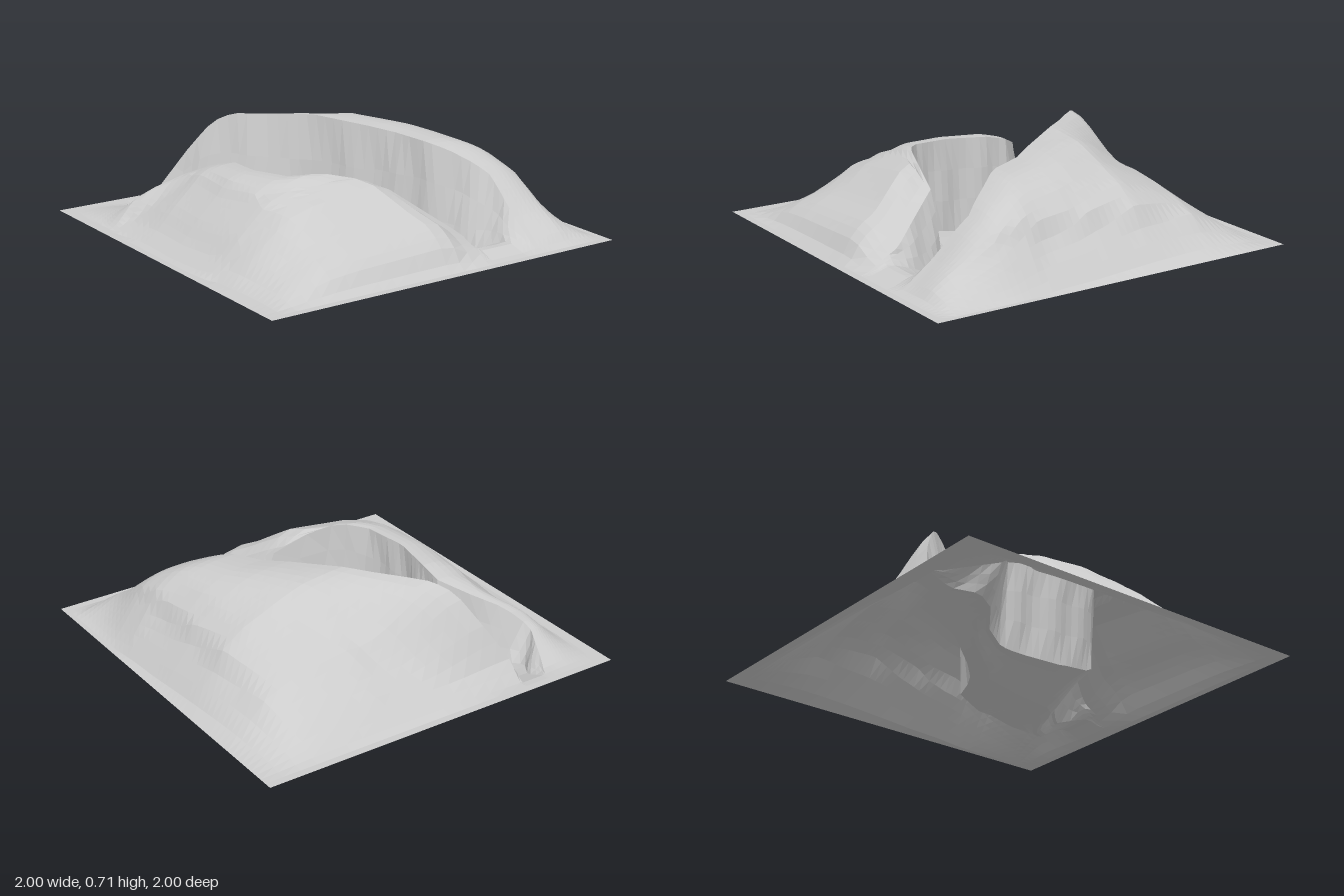
import * as THREE from 'three';

// Piecewise linear curve through [position, value] points
const curve = (...pts) => (t) => {
  if (t <= pts[0][0]) return pts[0][1];
  for (let i = 1; i < pts.length; i++) {
    const [a, va] = pts[i - 1], [b, vb] = pts[i];
    if (t <= b) return va + (vb - va) * (t - a) / (b - a);
  }
  return pts[pts.length - 1][1];
};
const { lerp, smoothstep } = THREE.MathUtils;
const GROUND = 0.2;

// Canyon plan: rims and foot of each wall, x as a function of z
const leftRimX = curve([-1, -0.66], [-0.89, -0.66], [-0.82, -0.7], [-0.62, -0.79], [-0.54, -0.69], [-0.44, -0.54],
  [-0.32, -0.43], [-0.2, -0.43], [0.02, -0.46], [0.25, -0.41], [0.35, -0.29], [0.4, -0.13], [0.43, 0.04],
  [0.6, 0.15], [0.75, 0.25], [0.87, 0.26], [1, 0.26]);
const leftFootX = curve([-1, -0.63], [-0.82, -0.62], [-0.7, -0.7], [-0.6, -0.65], [-0.48, -0.49], [-0.35, -0.41],
  [-0.2, -0.41], [0.02, -0.43], [0.25, -0.38], [0.33, -0.27], [0.38, -0.09], [0.42, 0.12], [0.55, 0.25],
  [0.73, 0.3], [0.87, 0.3], [1, 0.3]);
const rightFootX = curve([-1, -0.52], [-0.8, -0.51], [-0.68, -0.42], [-0.53, -0.32], [-0.4, -0.22], [-0.3, -0.12],
  [-0.24, 0.04], [-0.08, 0.12], [0.1, 0.23], [0.3, 0.32], [0.5, 0.37], [0.65, 0.43], [0.75, 0.48], [1, 0.5]);
const rightRimX = curve([-1, -0.5], [-0.84, -0.48], [-0.75, -0.36], [-0.6, -0.22], [-0.47, -0.11], [-0.35, 0],
  [-0.25, 0.08], [0, 0.24], [0.12, 0.32], [0.3, 0.38], [0.4, 0.46], [0.56, 0.57], [0.75, 0.57], [1, 0.57]);

// Heights of the rims along z
const leftRimY = curve([-0.89, 0.2], [-0.62, 0.28], [-0.54, 0.38], [-0.44, 0.46], [-0.32, 0.52], [-0.2, 0.55],
  [0.02, 0.565], [0.25, 0.58], [0.35, 0.6], [0.4, 0.56], [0.43, 0.49], [0.6, 0.39], [0.75, 0.3], [0.87, 0.24], [0.94, 0.2]);
const rightRimY = curve([-0.92, 0.2], [-0.84, 0.3], [-0.75, 0.5], [-0.66, 0.64], [-0.58, 0.69], [-0.25, 0.71],
  [0, 0.68], [0.12, 0.66], [0.3, 0.64], [0.38, 0.61], [0.5, 0.55], [0.62, 0.46], [0.75, 0.34], [0.87, 0.25], [0.94, 0.2]);

// Heights of the floor along z: its bed and its banks under each wall
const floorY = curve([-0.93, 0.2], [-0.8, 0.15], [-0.7, 0.12], [-0.5, 0.06], [-0.27, 0.01], [-0.04, 0],
  [0.2, 0.03], [0.5, 0.06], [0.6, 0.12], [0.73, 0.2], [0.82, 0.24], [0.94, 0.2]);
const leftBankY = curve([-0.93, 0.2], [-0.8, 0.15], [-0.6, 0.11], [-0.3, 0.07], [0, 0.07], [0.2, 0.11],
  [0.33, 0.18], [0.42, 0.18], [0.55, 0.13], [0.73, 0.21], [0.82, 0.24], [0.94, 0.2]);
const rightBankY = curve([-0.93, 0.2], [-0.8, 0.15], [-0.7, 0.12], [-0.5, 0.06], [-0.27, 0.01], [-0.06, 0],
  [0.1, 0.05], [0.5, 0.09], [0.6, 0.13], [0.73, 0.21], [0.82, 0.24], [0.94, 0.2]);

// Rounded hill mass as a product of two profiles
const hillX = curve([-0.94, 0], [-0.85, 0.07], [-0.77, 0.16], [-0.6, 0.32], [-0.45, 0.37], [-0.25, 0.4], [0, 0.44],
  [0.3, 0.48], [0.5, 0.43], [0.65, 0.37], [0.77, 0.28], [0.8, 0.21], [0.9, 0.09], [0.97, 0]);
const hillZ = curve([-0.94, 0], [-0.8, 0.26], [-0.6, 0.6], [-0.25, 0.96], [0, 1], [0.35, 0.97],
  [0.52, 0.83], [0.7, 0.52], [0.8, 0.4], [0.87, 0.28], [0.94, 0]);

// Hill surface, drawn towards the rim height close to the canyon
function hillY(x, z, rimX, rimY, reach) {
  const y = GROUND + hillX(x) * hillZ(z);
  const w = 1 - smoothstep(Math.abs(x - rimX), 0, Math.min(reach, 0.94 - Math.abs(rimX)));
  return lerp(y, rimY, w);
}

// Sheet of quads: rows along z, columns across from u = 0 to 1
const ROWS = 50;
function sheet(name, cols, pointAt) {
  const pos = [], idx = [];
  for (let i = 0; i <= ROWS; i++) {
    const z = -1 + 2 * i / ROWS;
    for (let j = 0; j <= cols; j++) {
      const [x, y] = pointAt(z, j / cols);
      pos.push(x, y, z);
      if (i < ROWS && j < cols) {
        const a = i * (cols + 1) + j, c = a + cols + 1;
        idx.push(a, c, a + 1, a + 1, c, c + 1);
      }
    }
  }
  const geo = new THREE.BufferGeometry();
  geo.setAttribute('position', new THREE.Float32BufferAttribute(pos, 3));
  geo.setIndex(idx);
  geo.computeVertexNormals();
  const mesh = new THREE.Mesh(geo, new THREE.MeshStandardMaterial({
    color: 0xcccccc, flatShading: true, side: THREE.DoubleSide,
  }));
  mesh.name = name;
  return mesh;
}

// Wall cross-section with a slightly worn face
const wall = (footX, rimX, footY, rimY) => (z, v) => {
  const bulge = 0.012 * Math.sin(v * Math.PI) * Math.sin(z * 31);
  return [lerp(footX(z), rimX(z), v) + bulge, lerp(footY(z), rimY(z), v)];
};

export function createModel() {
  const group = new THREE.Group();
  group.name = 'canyonTerrain';
  const leftWall = wall(leftFootX, leftRimX, leftBankY, leftRimY);

  // Hills either side of the canyon, with flat borders
  group.add(sheet('westHill', 16, (z, u) => {
    const rim = leftRimX(z), x = lerp(-1, rim, u);
    return [x, hillY(x, z, rim, leftRimY(z), 0.22)];
  }));
  group.add(sheet('eastHill', 16, (z, u) => {
    const rim = rightRimX(z), x = lerp(rim, 1, u);
    return [x, hillY(x, z, rim, rightRimY(z), 0.48)];
  }));

  // Steep canyon walls
  group.add(sheet('westCanyonWall', 3, (z, u) => leftWall(z, 1 - u)));
  group.add(sheet('eastCanyonWall', 3, wall(rightFootX, rightRimX, rightBankY, rightRimY)));

  // Canyon floor: bed rising to a bank on each side
  group.add(sheet('canyonFloor', 8, (z, u) => {
    const bed = lerp(leftBankY(z), floorY(z), smoothstep(u, 0, 0.6));
    return [lerp(leftFootX(z), rightFootX(z), u), lerp(bed, rightBankY(z), smoothstep(u, 0.7, 1))];
  }));
  return group;
}
